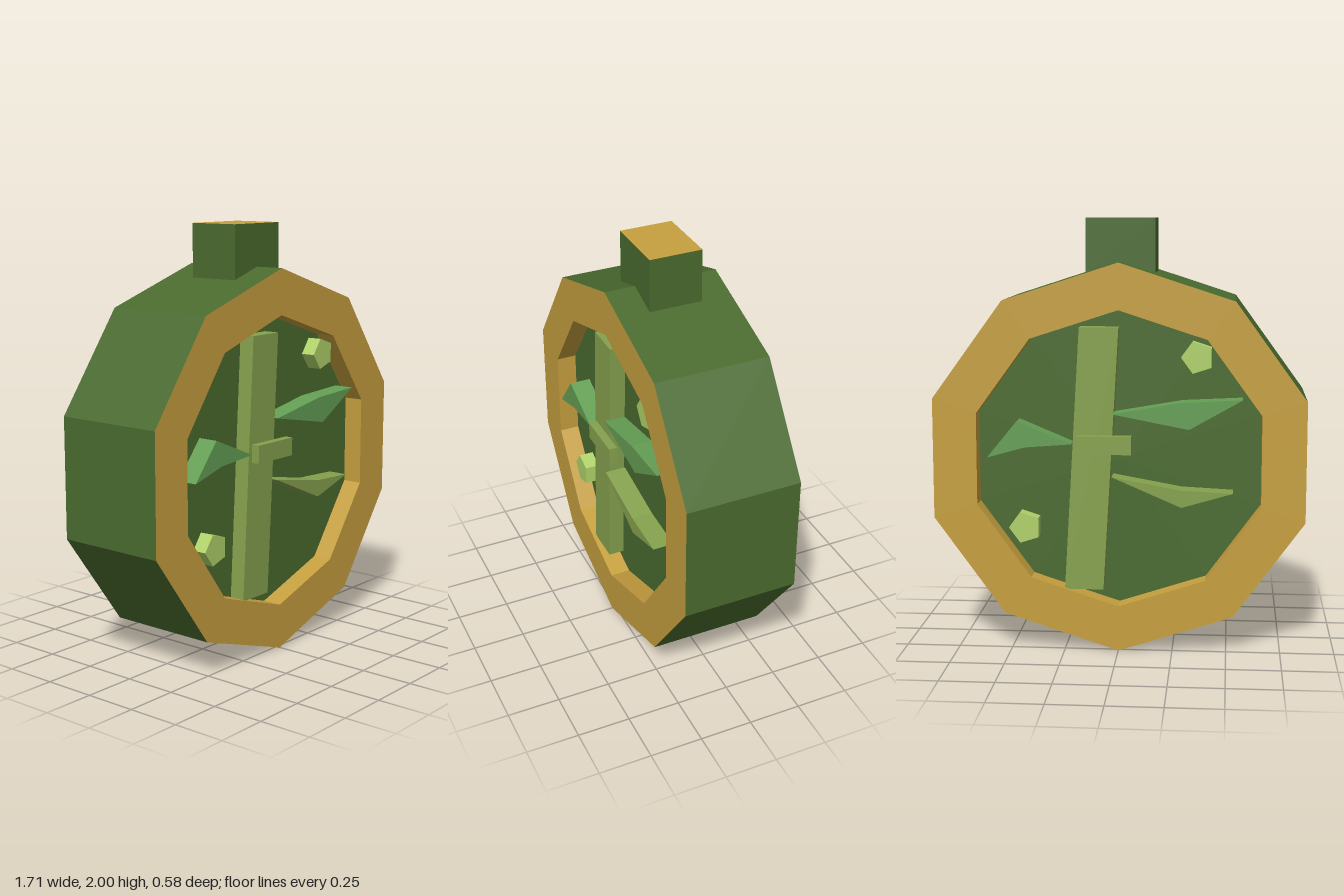
import * as THREE from 'three';

const CENTER_Y = 0.903, OUTER = 0.9, INNER = 0.687, HALF = 0.27, FLOOR = 0.175;

function material(name, color) {
  const m = new THREE.MeshStandardMaterial({ color, flatShading: true });
  m.name = name;
  return m;
}

function mesh(name, geometry, mat) {
  const m = new THREE.Mesh(geometry, mat);
  m.name = name;
  return m;
}

// Ten-sided ring surface around the z axis; profile points are [radius, z]
function decagon(profile) {
  const g = new THREE.LatheGeometry(profile.map(p => new THREE.Vector2(...p)), 10)
    .rotateX(Math.PI / 2).translate(0, CENTER_Y, 0).toNonIndexed();
  g.computeVertexNormals();
  return g;
}

// Flat outline raised from z0 to z1
function relief(points, z0, z1) {
  const shape = new THREE.Shape(points.map(p => new THREE.Vector2(...p)));
  return new THREE.ExtrudeGeometry(shape, { depth: z1 - z0, bevelEnabled: false, steps: 1 })
    .translate(0, 0, z0);
}

function pentagon(x, y, r) {
  return Array.from({ length: 5 }, (_, i) => {
    const a = Math.PI + i * Math.PI * 2 / 5;
    return [x + r * Math.cos(a), y + r * Math.sin(a)];
  });
}

export function createModel() {
  const green = material('dark green', 0x4a6b2f);
  const gold = material('gold', 0xc69f3e);
  const olive = material('olive green', 0x86a24e);
  const leaf = material('leaf green', 0x649f54);
  const lime = material('lime', 0xb0d26a);

  const model = new THREE.Group();
  model.name = 'medallion';

  // Outer casing and the hanger block with its gold cap
  model.add(mesh('casing', decagon([[OUTER, -HALF], [OUTER, HALF]]), green));
  const hanger = mesh('hanger', new THREE.BoxGeometry(0.32, 0.25, 0.25),
    [green, green, gold, green, green, green]);
  hanger.position.y = 1.875;
  model.add(hanger);

  // One decorated face: gold rim, recessed floor and raised plant relief
  const face = new THREE.Group();
  face.name = 'frontFace';
  face.add(mesh('rim', decagon([[OUTER, HALF], [INNER, HALF], [INNER, FLOOR]]), gold));
  face.add(mesh('recessFloor',
    new THREE.CircleGeometry(INNER, 10, Math.PI / 2).translate(0, CENTER_Y, FLOOR), green));

  face.add(mesh('stalk', relief(
    [[-0.25, 0.29], [-0.07, 0.29], [0, 1.51], [-0.18, 1.51]], FLOOR, 0.25), olive));
  face.add(mesh('stalkBand', relief(
    [[-0.19, 0.933], [0.06, 0.933], [0.06, 1.017], [-0.19, 1.017]], 0.25, 0.29), olive));

  const leaves = [
    ['upperLeaf', leaf, [[-0.03, 1.118], [0.323, 1.05], [0.565, 1.188], [0.29, 1.174]]],
    ['sideLeaf', leaf, [[-0.605, 0.911], [-0.43, 0.96], [-0.217, 0.977], [-0.466, 1.081]]],
    ['lowerLeaf', olive, [[-0.03, 0.827], [0.29, 0.689], [0.525, 0.758], [0.286, 0.77]]],
  ];
  for (const [name, mat, points] of leaves) {
    face.add(mesh(name, relief(points, FLOOR, 0.274), mat));
  }
  for (const [name, x, y] of [['upperBud', 0.36, 1.375], ['lowerBud', -0.435, 0.577]]) {
    face.add(mesh(name, relief(pentagon(x, y, 0.076), FLOOR, 0.245), lime));
  }
  model.add(face);

  // Same face turned around for the back
  const back = face.clone();
  back.name = 'backFace';
  back.rotation.y = Math.PI;
  model.add(back);

  return model;
}
